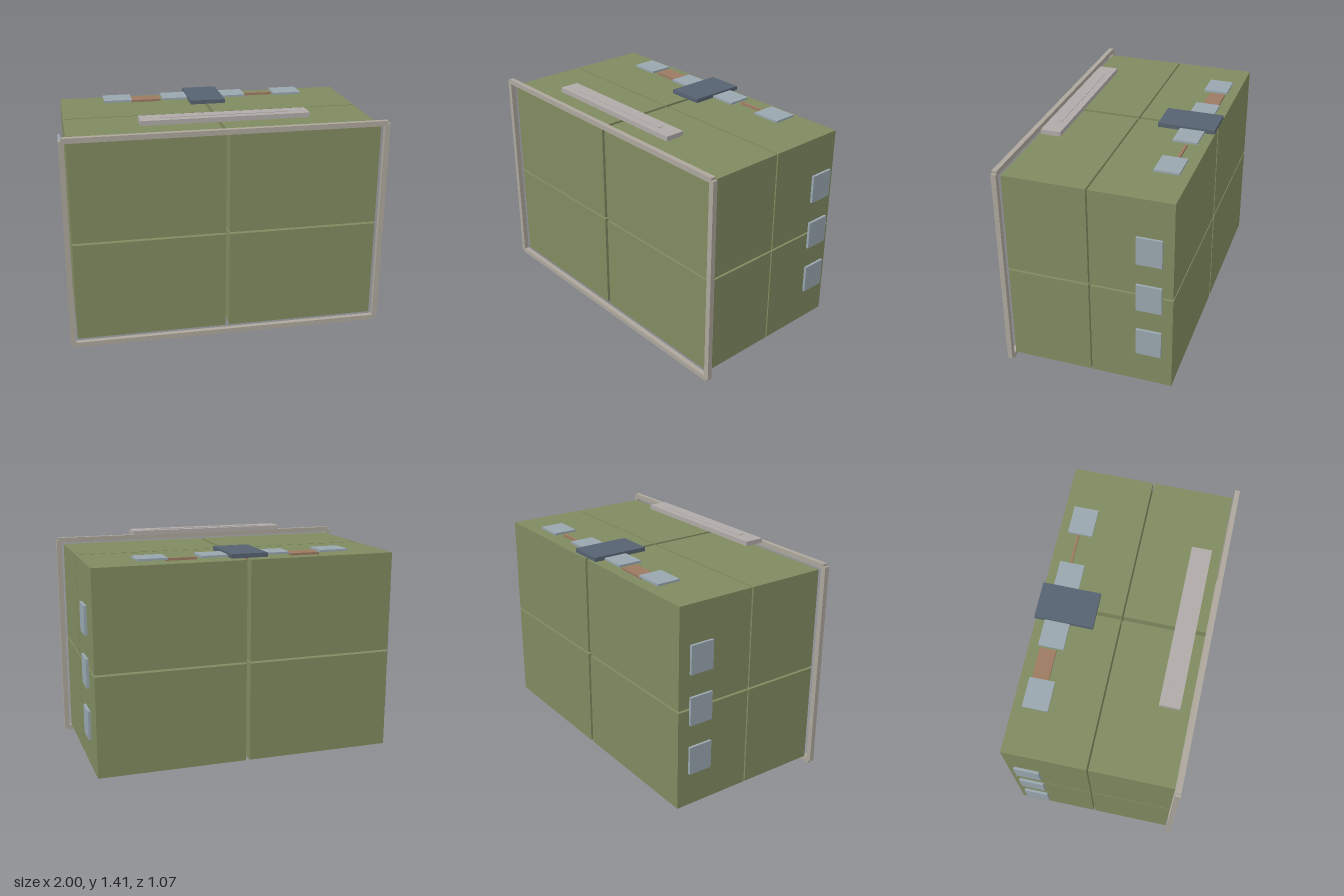
import * as THREE from 'three';

const material = (color) => new THREE.MeshStandardMaterial({ color });

export function createModel() {
  const model = new THREE.Group();
  const green = material(0x808a60);
  const grey = material(0xaca69c);
  const paleGrey = material(0xb0aaa8);
  const blue = material(0x98a6ae);
  const slate = material(0x566270);
  const brown = material(0x9c7a62);

  // Box given by its extents along each axis
  function block(name, mat, [x0, x1], [y0, y1], [z0, z1], parent = model) {
    const mesh = new THREE.Mesh(new THREE.BoxGeometry(x1 - x0, y1 - y0, z1 - z0), mat);
    mesh.position.set((x0 + x1) / 2, (y0 + y1) / 2, (z0 + z1) / 2);
    mesh.name = name;
    parent.add(mesh);
  }
  const mirrored = ([a, b], side) => (side > 0 ? [a, b] : [-b, -a]);

  // Body: eight blocks separated by narrow gaps
  const body = new THREE.Group();
  body.name = 'body';
  model.add(body);
  for (const side of [-1, 1]) {
    for (const y of [[0.04, 0.672], [0.685, 1.317]]) {
      for (const z of [[-0.527, -0.021], [-0.011, 0.495]]) {
        block('bodyBlock', green, mirrored([0.012, 0.955], side), y, z, body);
      }
    }
  }

  // Front frame
  const frame = new THREE.Group();
  frame.name = 'frontFrame';
  model.add(frame);
  for (const side of [-1, 1]) {
    block('framePost', grey, mirrored([0.967, 1], side), [0.016, 1.341], [0.502, 0.533], frame);
  }
  for (const y of [[0, 0.032], [1.325, 1.357]]) {
    block('frameRail', grey, [-0.984, 0.984], y, [0.502, 0.533], frame);
  }

  // Raised bar above the front edge with a thin inlay strip
  block('topBar', paleGrey, [-0.515, 0.515], [1.379, 1.408], [0.309, 0.434]);
  block('topBarStrip', paleGrey, [-0.39, 0.39], [1.404, 1.411], [0.353, 0.39]);

  // Square plates on the roof and the slate cover in the middle
  for (const side of [-1, 1]) {
    for (const x of [[0.098, 0.282], [0.487, 0.672]]) {
      block('roofPlate', blue, mirrored(x, side), [1.332, 1.345], [-0.468, -0.314]);
    }
  }
  block('roofCover', slate, [-0.115, 0.115], [1.331, 1.357], [-0.532, -0.172]);

  // Brown supports set into the roof
  block('wideSupport', brown, [-0.486, -0.291], [1.29, 1.332], [-0.456, -0.355]);
  block('thinSupport', brown, [0.291, 0.486], [1.29, 1.332], [-0.41, -0.395]);
  block('centreSupport', brown, [-0.086, 0.086], [1.26, 1.332], [-0.455, -0.324]);

  // Three plates on each side
  for (const side of [-1, 1]) {
    for (const y of [0.36, 0.68, 1.0]) {
      block('sidePlate', blue, mirrored([0.976, 0.992], side), [y - 0.089, y + 0.089], [-0.468, -0.314]);
    }
  }
  return model;
}
